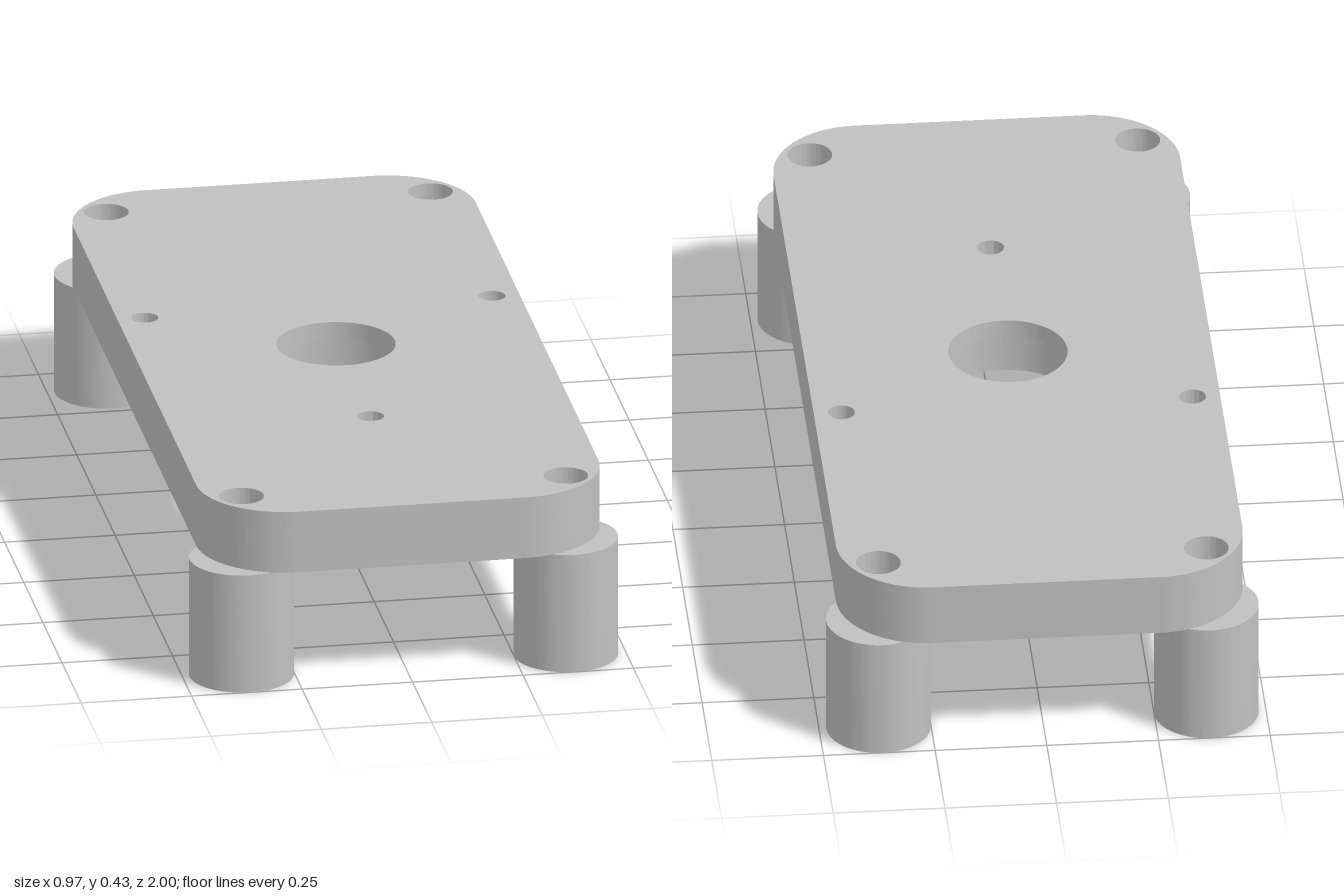
import * as THREE from 'three';
import { toCreasedNormals } from 'three/addons/utils/BufferGeometryUtils.js';

const HALF_W = 0.455, HALF_L = 1, CORNER = 0.2;
const LEG_TOP = 0.28, LEDGE = 0.385, TOP = 0.425;
const LEG_X = 0.367, LEG_Z = 0.883, LEG_R = 0.117;

// [x, z] centres
const corners = [[1, 1], [-1, 1], [1, -1], [-1, -1]].map(([a, b]) => [a * LEG_X, b * LEG_Z]);
const pins = [[0.393, -0.23], [-0.393, -0.23], [0, 0.45]];

const circle = (x, z, r, Type = THREE.Path) => new Type().absarc(x, -z, r, 0, Math.PI * 2, false);

function roundedPlate() {
  const w = HALF_W - CORNER, l = HALF_L - CORNER, q = Math.PI / 2;
  const s = new THREE.Shape();
  s.absarc(w, l, CORNER, 0, q);
  s.absarc(-w, l, CORNER, q, 2 * q);
  s.absarc(-w, -l, CORNER, 2 * q, 3 * q);
  s.absarc(w, -l, CORNER, 3 * q, 4 * q);
  s.closePath();
  return s;
}

// Extrude a plan shape upward from y0 to y1
function slab(shape, holes, y0, y1, name, material) {
  shape.holes.push(...holes);
  const g = new THREE.ExtrudeGeometry(shape, { depth: y1 - y0, bevelEnabled: false, curveSegments: 40 });
  g.rotateX(-Math.PI / 2);
  g.translate(0, y0, 0);
  const mesh = new THREE.Mesh(toCreasedNormals(g, 0.6), material);
  mesh.name = name;
  return mesh;
}

export function createModel() {
  const group = new THREE.Group();
  group.name = 'mountingPlate';
  const grey = new THREE.MeshStandardMaterial({ color: 0xc0c0c0 });
  grey.name = 'grey';

  const screwBores = () => corners.map(([x, z]) => circle(x, z, 0.05));

  // Lower layer has the wider centre recess; it also closes the blind pin holes
  group.add(slab(roundedPlate(), [circle(0, 0, 0.16), ...screwBores()],
    LEG_TOP, LEDGE, 'plateLower', grey));

  // Upper layer has the narrower centre hole and the pin holes
  group.add(slab(roundedPlate(),
    [circle(0, 0, 0.133), ...screwBores(), ...pins.map(([x, z]) => circle(x, z, 0.03))],
    LEDGE, TOP, 'plateUpper', grey));

  // Round legs with a narrow through hole
  corners.forEach(([x, z], i) => group.add(
    slab(circle(x, z, LEG_R, THREE.Shape), [circle(x, z, 0.025)], 0, LEG_TOP, `leg${i + 1}`, grey)));

  return group;
}
